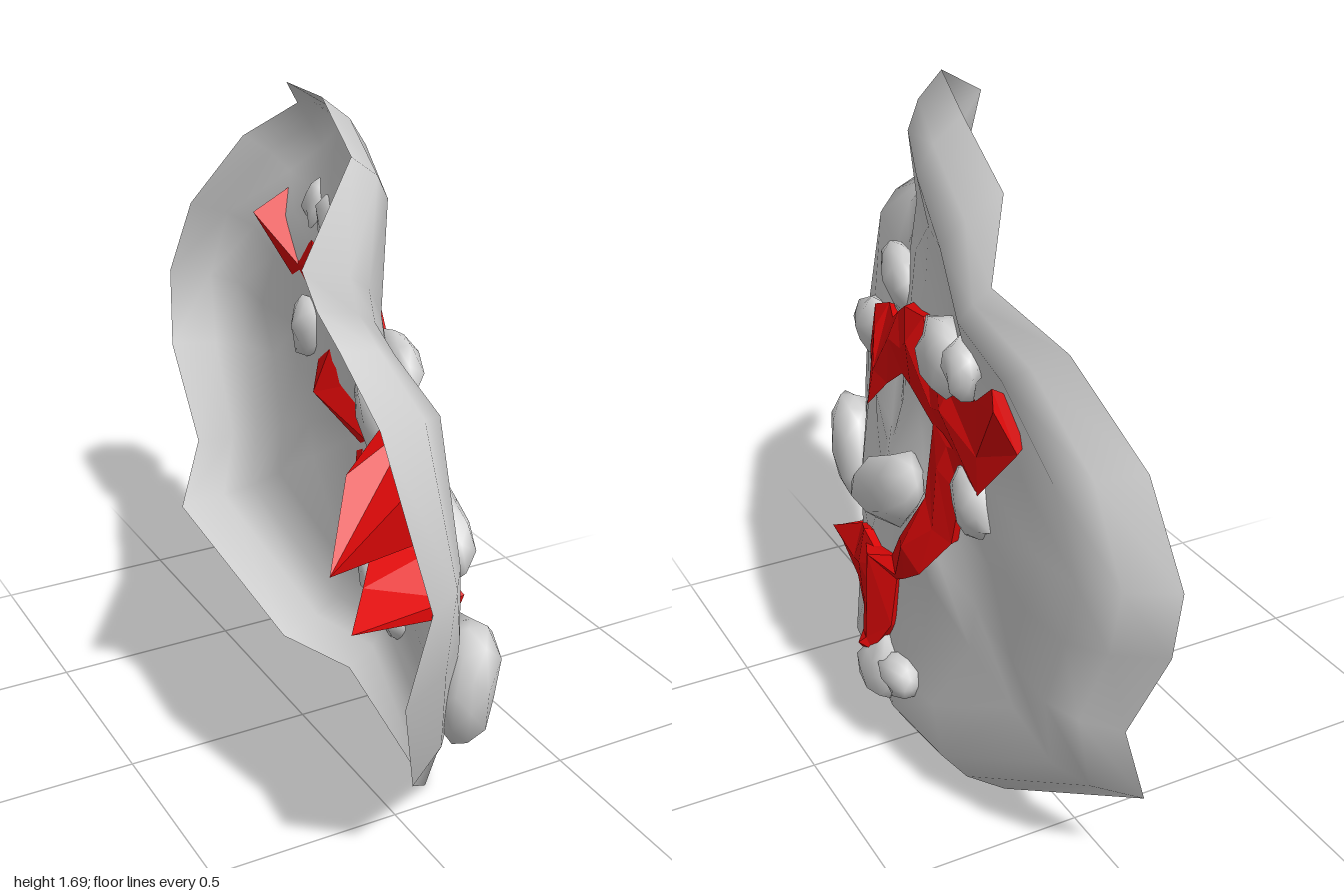
import * as THREE from 'three';
import { mergeVertices } from 'three/addons/utils/BufferGeometryUtils.js';

// Rim of the domed slab: [z, y, x at the rim, x on the shoulder just inside it]
const RIM = [
  [0.43, 0, 0.13, 0.21], [-0.08, 0.05, 0.19, 0.3], [-0.35, 0.03, 0.12, 0.27], [-0.8, 0.28, 0, 0.18],
  [-0.8, 0.49, 0.06, 0.2], [-0.93, 0.76, 0.04, 0.22], [-1, 0.97, 0.07, 0.23], [-0.9, 1.2, 0.1, 0.24],
  [-0.75, 1.42, 0.2, 0.29], [-0.61, 1.53, 0.3, 0.33], [-0.4, 1.64, 0.16, 0.28], [0, 1.69, 0.05, 0.17],
  [0.45, 1.67, -0.12, 0.01], [0.69, 1.53, -0.36, -0.15], [0.64, 1.42, -0.3, -0.11], [0.7, 1.35, -0.28, -0.09],
  [0.9, 1.26, -0.3, -0.08], [1, 0.89, -0.23, -0.07], [0.94, 0.64, -0.25, -0.03], [0.77, 0.3, -0.12, 0.05],
];
const MID_Y = 0.85, SHOULDER = 0.85;
const toward = (z, y, t) => [z * t, MID_Y + (y - MID_Y) * t];

// Heights inside the shoulder: [z, y, x]
const INNER = [
  [0.6, 0.9, 0.01], [0.35, 0.82, 0.14], [0.3, 1.05, 0.08], [0, 0.8, 0.27], [0.7, 0.5, 0.03], [0.4, 1.15, 0.02],
  [0.13, 1.19, 0.13], [-0.35, 1.27, 0.25], [-0.45, 0.95, 0.25], [0.05, 0.27, 0.3], [0.36, 0.45, 0.23],
  [0, 1.1, 0.18], [0, 1.43, 0.14], [0.35, 1.4, -0.02], [-0.6, 0.7, 0.25], [-0.62, 1.2, 0.23], [0.5, 1.28, -0.04],
  [0.1, 0.6, 0.27], [-0.2, 0.6, 0.28], [0.5, 0.62, 0.12], [-0.4, 0.4, 0.27], [-0.25, 1.42, 0.22],
];
const SAMPLES = [...INNER, ...RIM.map(([z, y, , x]) => [...toward(z, y, SHOULDER), x])];

// Sloping plane plus distance-weighted corrections
const trend = (z) => 0.15 - 0.22 * z;
function surfaceX(z, y) {
  let sum = 0, total = 0;
  for (const [pz, py, px] of SAMPLES) {
    const w = 1 / (Math.pow((pz - z) ** 2 + (py - y) ** 2, 1.5) + 1e-4);
    sum += w * (px - trend(pz));
    total += w;
  }
  return trend(z) + sum / total;
}

function indexed(positions, index) {
  const g = new THREE.BufferGeometry();
  g.setAttribute('position', new THREE.Float32BufferAttribute(positions, 3));
  g.setIndex(index);
  g.computeVertexNormals();
  return g;
}

// Concentric loops: rim, rounded edge, shoulder, then the face to its middle
function slabGeometry() {
  const pos = [], idx = [], n = RIM.length, rings = [1, 0.93, SHOULDER, 0.7, 0.53, 0.35, 0.17];
  rings.forEach((t) => RIM.forEach(([rz, ry, rimX, shoulderX]) => {
    const [z, y] = toward(rz, ry, t);
    const blend = Math.pow((1 - t) / (1 - SHOULDER), 0.6);
    pos.push(t >= SHOULDER ? rimX + (shoulderX - rimX) * blend : surfaceX(z, y), y, z);
  }));
  pos.push(surfaceX(0, MID_Y), MID_Y, 0);
  const middle = rings.length * n;
  for (let r = 0; r < rings.length; r++) {
    for (let i = 0; i < n; i++) {
      const j = (i + 1) % n, a = r * n + i, b = r * n + j;
      if (r === rings.length - 1) idx.push(a, b, middle);
      else idx.push(a, b, b + n, a, b + n, a + n);
    }
  }
  return indexed(pos, idx);
}

// Vein stations: [z, y of one edge, z, y of the other, depth behind the slab, rear point from edge to edge]
const VEINS = {
  upperVein: [
    [0.6, 1.0, 0.57, 0.8, 0.28, 1.2], [0.48, 1.05, 0.47, 0.86, 0.18, 0.5], [0.36, 1.06, 0.37, 0.82, 0.0, 0.3],
    [0.28, 1.11, 0.27, 0.92, 0.08, 0], [0.13, 1.19, 0.13, 1.01, 0.15, -0.2], [-0.08, 1.25, 0.0, 1.04, 0.1, -0.1],
    [-0.22, 1.17, -0.2, 1.03, 0.06, 0], [-0.33, 1.18, -0.31, 1.02, 0.03, 0.1], [-0.48, 1.22, -0.5, 1.0, 0.0, 0.5],
    [-0.61, 1.31, -0.64, 1.16, 0.07, 0.5],
  ],
  middleVein: [
    [-0.2, 1.04, -0.42, 1.06, -0.005, 0.5], [-0.2, 0.94, -0.37, 0.93, -0.005, 0.5],
    [-0.21, 0.85, -0.34, 0.79, 0.04, 0.9], [-0.1, 0.69, -0.25, 0.67, -0.005, 0.5],
    [-0.05, 0.61, -0.12, 0.58, 0.06, 0.5], [0.1, 0.57, -0.07, 0.55, 0.1, 0.5],
    [0.11, 0.3, -0.06, 0.41, 0.08, 0.6], [0.08, 0.26, 0.0, 0.31, 0.06, 0.5],
  ],
  lowerVein: [
    [-0.02, 0.56, 0.04, 0.36, 0.09, 0.2], [0.12, 0.6, 0.12, 0.35, 0.12, 0.2], [0.23, 0.55, 0.25, 0.38, 0.18, 0.3],
    [0.36, 0.48, 0.36, 0.43, 0.28, 0.5],
  ],
};

// Four-sided cross-sections joined along the stations
function veinGeometry(stations) {
  const pos = [], idx = [];
  stations.forEach(([z1, y1, z2, y2, depth, rear], k) => {
    const mz = (z1 + z2) / 2, my = (y1 + y2) / 2 + (k % 2 ? 0.03 : -0.02);
    const rz = z1 + (z2 - z1) * rear, ry = y1 + (y2 - y1) * rear;
    pos.push(surfaceX(z1, y1) + 0.018, y1, z1, surfaceX(mz, my) + (k % 2 ? 0.045 : 0.03), my, mz);
    pos.push(surfaceX(z2, y2) + 0.018, y2, z2, surfaceX(rz, ry) - depth, ry, rz);
    if (k === 0) return;
    for (let i = 0; i < 4; i++) {
      const a = (k - 1) * 4 + i, b = (k - 1) * 4 + (i + 1) % 4;
      idx.push(a, b, b + 4, a, b + 4, a + 4);
    }
  });
  const e = (stations.length - 1) * 4;
  idx.push(0, 2, 1, 0, 3, 2, e, e + 1, e + 2, e, e + 2, e + 3);
  return indexed(pos, idx);
}

// Stones: [z, y, x, half length, half height, half thickness, tilt, lean]
const STONES = [
  [0.39, 1.15, 0.03, 0.15, 0.105, 0.05, 0, -0.2], [0.69, 0.9, -0.02, 0.13, 0.09, 0.06, -0.4, -0.1],
  [0.71, 0.5, 0.04, 0.13, 0.195, 0.08, -0.25, -0.35], [-0.05, 0.8, 0.275, 0.23, 0.095, 0.075, -0.5, -0.05],
  [-0.32, 1.26, 0.265, 0.115, 0.1, 0.05, 0, -0.1], [-0.44, 1.28, 0.28, 0.06, 0.08, 0.045, 0, -0.1],
  [-0.44, 0.95, 0.25, 0.085, 0.1, 0.055, -0.3, -0.1], [0, 0.26, 0.295, 0.09, 0.11, 0.06, 0.3, -0.1],
  [-0.1, 0.29, 0.295, 0.1, 0.06, 0.045, -0.3, 0],
];

function stoneGeometry(seed, length, height, thick) {
  let g = new THREE.IcosahedronGeometry(1, 1);
  g.deleteAttribute('normal');
  g.deleteAttribute('uv');
  g = mergeVertices(g, 1e-3);
  const p = g.attributes.position;
  for (let i = 0; i < p.count; i++) {
    const s = Math.sin(i * 12.99 + seed * 78.23) * 43758.5;
    const k = 0.76 + 0.34 * (s - Math.floor(s));
    p.setXYZ(i, p.getX(i) * k * thick, p.getY(i) * k * height, p.getZ(i) * k * length);
  }
  g.computeVertexNormals();
  return g;
}

export function createModel() {
  const group = new THREE.Group();
  const stoneGrey = new THREE.MeshStandardMaterial({ color: 0xd6d6d6, side: THREE.DoubleSide });
  stoneGrey.name = 'stoneGrey';
  const veinRed = new THREE.MeshStandardMaterial({ color: 0xe00808, flatShading: true, side: THREE.DoubleSide });
  veinRed.name = 'veinRed';

  const add = (name, geometry, material) => {
    const mesh = new THREE.Mesh(geometry, material);
    mesh.name = name;
    group.add(mesh);
    return mesh;
  };

  add('curvedSlab', slabGeometry(), stoneGrey);
  for (const [name, stations] of Object.entries(VEINS)) add(name, veinGeometry(stations), veinRed);
  STONES.forEach(([z, y, x, length, height, thick, tilt, lean], i) => {
    const stone = add('stone' + (i + 1), stoneGeometry(i + 1, length, height, thick), stoneGrey);
    stone.position.set(x, y, z);
    // Lean with the slope of the slab, then tilt in its plane
    stone.rotation.set(-tilt, lean, 0, 'YXZ');
  });
  return group;
}
